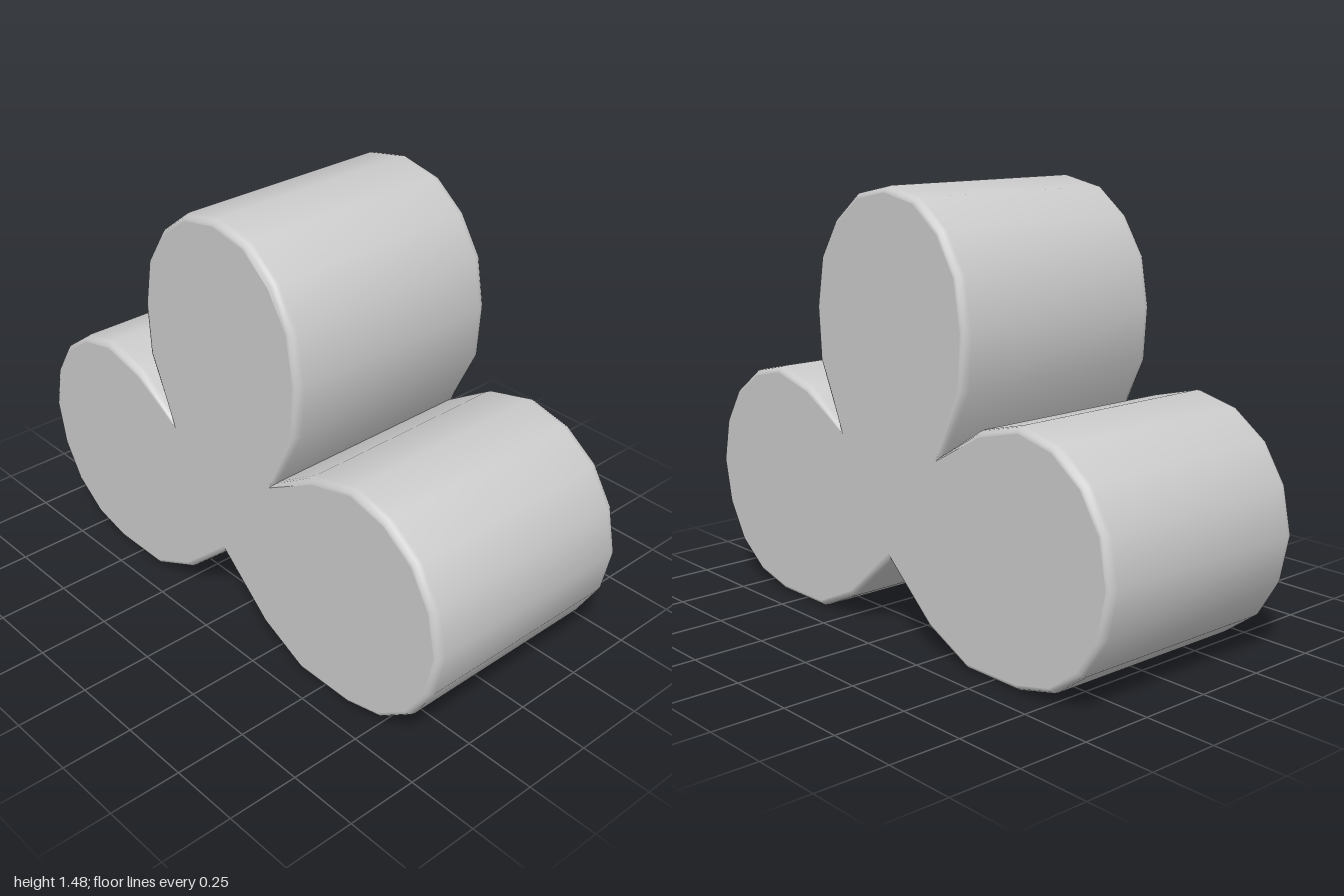
import * as THREE from 'three';
import { toCreasedNormals } from 'three/addons/utils/BufferGeometryUtils.js';

// Half outline of the trefoil, from the crown down to the lower notch
const HALF = [
  [0, 1.485], [0.15, 1.455], [0.267, 1.365], [0.35, 1.235], [0.38, 1.065], [0.368, 0.885],
  [0.262, 0.67], // upper notch
  [0.437, 0.78], [0.615, 0.825], [0.765, 0.79], [0.888, 0.702], [0.968, 0.575], [1, 0.418],
  [0.967, 0.26], [0.888, 0.13], [0.765, 0.04], [0.615, 0.003], [0.385, 0.003], [0.2, 0.09],
  [0, 0.265], // lower notch
];
const HALF_WIDTH = 0.41;
const BEVEL = 0.03;

export function createModel() {
  const group = new THREE.Group();
  group.name = 'trefoilBlock';

  // Mirror the half outline into a closed three-lobed shape
  const mirrored = HALF.slice(1, -1).reverse().map(([s, y]) => [-s, y]);
  const shape = new THREE.Shape([...HALF, ...mirrored].map(([s, y]) => new THREE.Vector2(s, y)));

  // Thick slab with softly rounded rims, keeping the outline as its widest section
  const depth = 2 * (HALF_WIDTH - BEVEL);
  const slab = new THREE.ExtrudeGeometry(shape, {
    depth,
    bevelEnabled: true,
    bevelThickness: BEVEL,
    bevelSize: 0.02,
    bevelOffset: -0.02,
    bevelSegments: 3,
  });
  slab.translate(0, 0, -depth / 2);
  slab.rotateY(Math.PI / 2);

  // Smooth lobes, sharp notches
  const geometry = toCreasedNormals(slab, 0.7);

  // Keep the two end faces perfectly flat
  const { position, normal } = geometry.attributes;
  for (let i = 0; i < position.count; i += 3) {
    const side = Math.sign(position.getX(i));
    const flat = [0, 1, 2].every((k) => Math.abs(position.getX(i + k) - side * HALF_WIDTH) < 1e-4);
    if (flat) for (let k = 0; k < 3; k++) normal.setXYZ(i + k, side, 0, 0);
  }

  const mesh = new THREE.Mesh(geometry, new THREE.MeshStandardMaterial({ color: 0xcccccc }));
  mesh.name = 'trefoilBody';
  group.add(mesh);
  return group;
}
